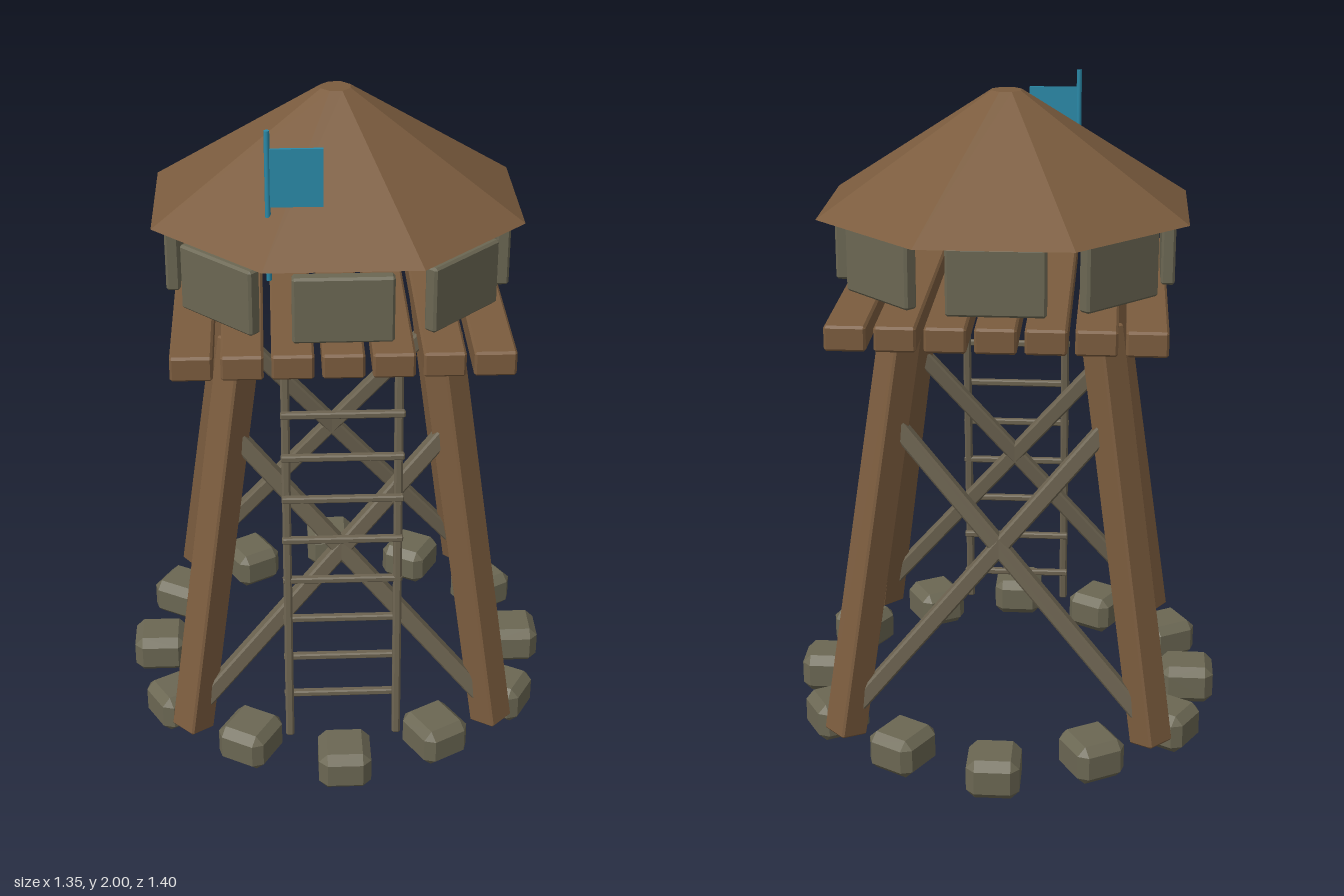
import * as THREE from 'three';
import { ConvexGeometry } from 'three/addons/geometries/ConvexGeometry.js';

const V = (x, y, z) => new THREE.Vector3(x, y, z);

// Box with every edge cut by a flat chamfer c
function chamferBox(w, h, d, c) {
  const points = [];
  for (const x of [-1, 1]) for (const y of [-1, 1]) for (const z of [-1, 1]) {
    points.push(
      V(x * w / 2, y * (h / 2 - c), z * (d / 2 - c)),
      V(x * (w / 2 - c), y * h / 2, z * (d / 2 - c)),
      V(x * (w / 2 - c), y * (h / 2 - c), z * d / 2));
  }
  return new ConvexGeometry(points);
}

export function createModel() {
  const model = new THREE.Group();
  model.name = 'watchtower';

  const material = (name, color) => {
    const m = new THREE.MeshStandardMaterial({ color });
    m.name = name;
    return m;
  };
  const wood = material('brown wood', 0x7b5c3e);
  const stone = material('grey stone', 0x6b6753);
  const pole = material('weathered poles', 0x6c6350);
  const cloth = material('blue flag', 0x2a8aa9);

  const add = (name, geometry, mat, position, parent = model) => {
    const mesh = new THREE.Mesh(geometry, mat);
    mesh.name = name;
    mesh.position.copy(position);
    parent.add(mesh);
    return mesh;
  };
  const group = (name) => {
    const g = new THREE.Group();
    g.name = name;
    model.add(g);
    return g;
  };

  // Straight timber from a to b, with its depth side turned towards facing
  const beam = (name, a, b, w, d, facing, mat, parent) => {
    const dir = b.clone().sub(a);
    const mesh = add(name, chamferBox(w, dir.length(), d, 0.006), mat, a.clone().lerp(b, 0.5), parent);
    const y = dir.normalize();
    const x = y.clone().cross(facing).normalize();
    mesh.quaternion.setFromRotationMatrix(new THREE.Matrix4().makeBasis(x, y, x.clone().cross(y)));
    return mesh;
  };

  // Ring of foundation stones, at slightly uneven distances
  const stones = group('stoneRing');
  const distances = [0.59, 0.602, 0.578, 0.615, 0.578, 0.602];
  const stoneShape = chamferBox(0.16, 0.126, 0.17, 0.026);
  for (let i = 0; i < 12; i++) {
    const a = i * Math.PI / 6, r = distances[i % 6];
    const mesh = add('stone', stoneShape, stone, V(Math.cos(a) * r, 0.063, Math.sin(a) * r), stones);
    mesh.rotation.y = Math.PI / 2 - a;
  }

  // Leaning legs, turned to the diagonals; spread is their offset at a height
  const spread = (y) => 0.295 + 0.1394 * (1.34 - y);
  const legs = group('legs');
  for (const sx of [-1, 1]) for (const sz of [-1, 1]) {
    const at = (y) => V(sx * spread(y), y, sz * spread(y));
    beam('leg', at(0.09), at(1.36), 0.095, 0.095, V(sx, 0, sz), wood, legs);
  }

  // Crossed braces on the front and back
  const braces = group('braces');
  for (const sz of [-1, 1]) for (const sx of [-1, 1]) {
    beam('brace', V(-sx * 0.33, 1.08, sz * spread(1.08)), V(sx * 0.44, 0.17, sz * spread(0.17)),
      0.05, 0.045, V(0, 0, sz), pole, braces);
  }

  // Plank platform
  const platform = group('platform');
  const plank = chamferBox(0.12, 0.075, 1.05, 0.007);
  for (let i = -3; i <= 3; i++) add('plank', plank, wood, V(i * 0.1417, 1.377, 0), platform);

  // Ladder
  const ladder = group('ladder');
  for (const s of [-1, 1]) {
    beam('ladderRail', V(s * 0.165, 0.085, 0.52), V(s * 0.165, 1.36, 0.4), 0.026, 0.024, V(0, 0, 1), pole, ladder);
  }
  const rung = chamferBox(0.36, 0.02, 0.022, 0.004);
  for (let i = 0; i < 8; i++) add('rung', rung, pole, V(0, 0.206 + i * 0.1414, 0.468), ladder);

  // Octagonal parapet
  const parapet = group('parapet');
  const panel = chamferBox(0.285, 0.198, 0.042, 0.007);
  for (let i = 0; i < 8; i++) {
    const a = i * Math.PI / 4;
    add('parapetPanel', panel, stone, V(Math.sin(a) * 0.485, 1.541, Math.cos(a) * 0.485), parapet).rotation.y = a;
  }

  // Mounted crossbow inside the parapet
  const bow = group('crossbow');
  add('stock', chamferBox(0.05, 0.028, 0.32, 0.005), wood, V(0, 1.555, 0.058), bow);
  add('bowArms', chamferBox(0.42, 0.02, 0.02, 0.004), wood, V(0, 1.578, 0.1), bow);
  add('bolt', new THREE.BoxGeometry(0.01, 0.01, 0.36), pole, V(0, 1.603, 0.07), bow);

  // Eight-sided roof with a blunt tip
  const roofShape = new THREE.CylinderGeometry(0.047, 0.585, 0.345, 8).toNonIndexed();
  roofShape.rotateY(Math.PI / 8);
  roofShape.computeVertexNormals();
  add('roof', roofShape, wood, V(0, 1.8275, -0.043));

  // Flag
  const flag = group('flag');
  add('flagPole', new THREE.CylinderGeometry(0.008, 0.008, 0.445, 8), cloth, V(-0.203, 1.7775, 0.322), flag);
  add('flagCloth', new THREE.BoxGeometry(0.15, 0.17, 0.009), cloth, V(-0.123, 1.862, 0.322), flag);

  return model;
}
